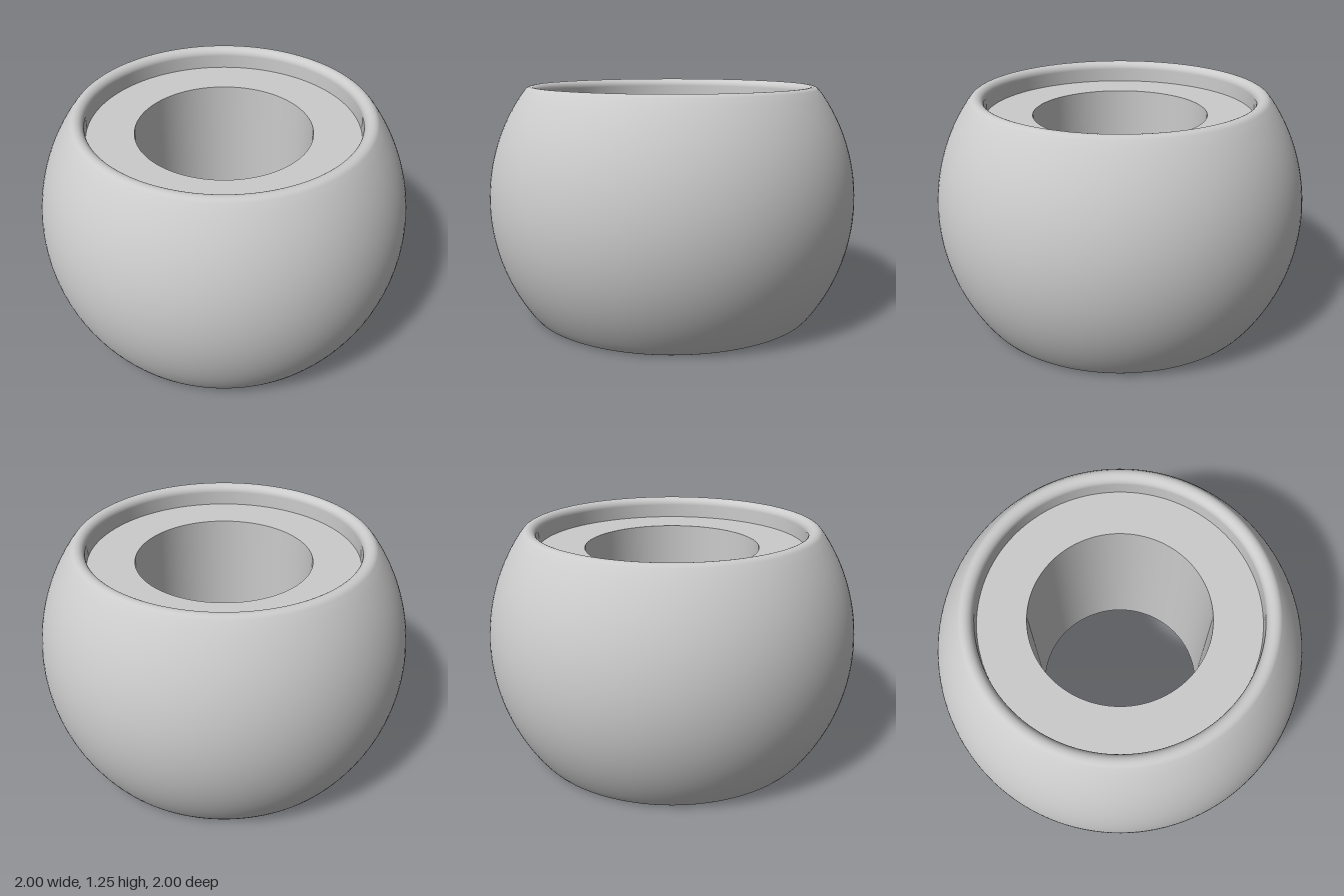
import * as THREE from 'three';

const MID = 0.6235;      // half of the total height
const BORE = 0.468;      // through-hole radius
const RECESS = 0.718;    // recess wall radius
const FACE = 0.507;      // recessed face height above / below the middle
const LIP = 0.0417;      // rounding radius of the rims
const SEGMENTS = 128;

// Points on an arc of the profile, angles in radians
function arc(cx, cy, r, from, to, steps) {
  return Array.from({ length: steps + 1 }, (_, i) => {
    const a = from + (to - from) * i / steps;
    return new THREE.Vector2(cx + r * Math.cos(a), cy + r * Math.sin(a));
  });
}

export function createModel() {
  const group = new THREE.Group();
  group.name = 'ballRing';
  const material = new THREE.MeshStandardMaterial({ color: 0xcccccc });

  function addLathe(name, points) {
    const mesh = new THREE.Mesh(new THREE.LatheGeometry(points, SEGMENTS), material);
    mesh.name = name;
    mesh.position.y = MID;
    group.add(mesh);
  }
  const p = (x, y) => new THREE.Vector2(x, y);

  // Spherical outside flowing over both rounded rims into the recess walls
  const lipX = RECESS + LIP, lipY = MID - LIP;
  const tangent = Math.atan2(lipY, lipX);
  addLathe('outerShell', [
    p(RECESS, -FACE),
    ...arc(lipX, -lipY, LIP, -Math.PI, -tangent, 14),
    ...arc(0, 0, 1, -tangent, tangent, 48).slice(1, -1),
    ...arc(lipX, lipY, LIP, tangent, Math.PI, 14),
    p(RECESS, FACE),
  ]);

  // Flat recessed faces and the straight bore between them
  addLathe('topFace', [p(RECESS, FACE), p(BORE, FACE)]);
  addLathe('bore', [p(BORE, FACE), p(BORE, -FACE)]);
  addLathe('bottomFace', [p(BORE, -FACE), p(RECESS, -FACE)]);

  return group;
}
